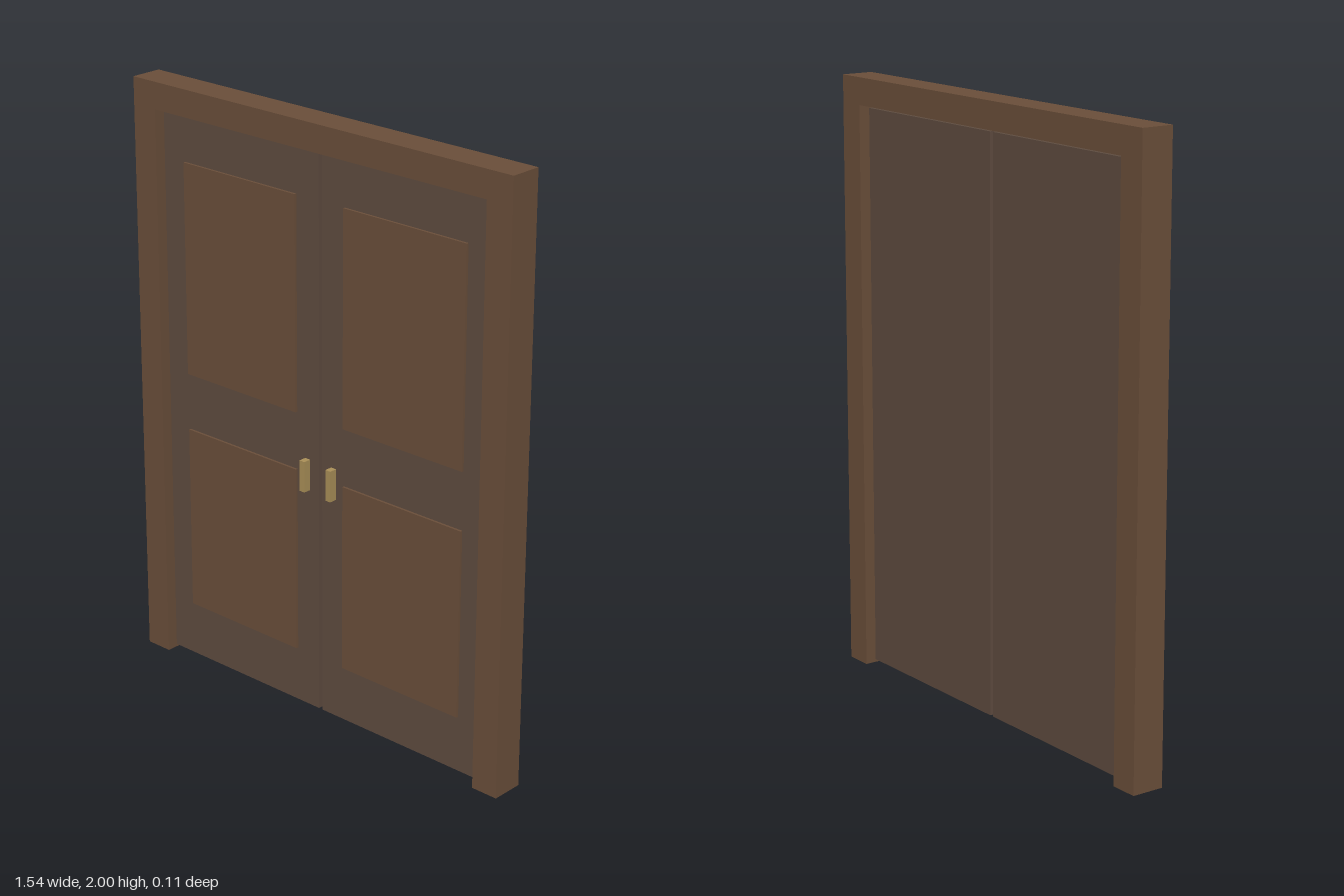
import * as THREE from 'three';

const wood = new THREE.MeshStandardMaterial({ color: 0x6b4f3a });
const darkWood = new THREE.MeshStandardMaterial({ color: 0x5f4c40 });
const brass = new THREE.MeshStandardMaterial({ color: 0xab9058 });

// Box given by its minimum and maximum on each axis
function box(name, material, [x0, x1], [y0, y1], [z0, z1]) {
  const mesh = new THREE.Mesh(new THREE.BoxGeometry(x1 - x0, y1 - y0, z1 - z0), material);
  mesh.position.set((x0 + x1) / 2, (y0 + y1) / 2, (z0 + z1) / 2);
  mesh.name = name;
  return mesh;
}

// Two jambs and a lintel in one piece, open at the floor
function createFrame() {
  const outer = 0.77, inner = 0.675, lintel = 1.91, depth = 0.11;
  const shape = new THREE.Shape([
    [-outer, 0], [-inner, 0], [-inner, lintel], [inner, lintel],
    [inner, 0], [outer, 0], [outer, 2], [-outer, 2],
  ].map(([x, y]) => new THREE.Vector2(x, y)));
  const geometry = new THREE.ExtrudeGeometry(shape, { depth, bevelEnabled: false });
  geometry.translate(0, 0, -depth / 2);
  const frame = new THREE.Mesh(geometry, wood);
  frame.name = 'doorFrame';
  return frame;
}

// One door with raised panels and a pull handle on the front; side is +1 or -1
function createDoor(side) {
  const span = (a, b) => (side > 0 ? [a, b] : [-b, -a]);
  const front = 0.018;
  const door = new THREE.Group();
  door.name = side > 0 ? 'leftDoor' : 'rightDoor';
  door.add(
    box('leaf', darkWood, span(0.007, 0.674), [0.01, 1.898], [-front, front]),
    box('lowerPanel', wood, span(0.1, 0.582), [0.2, 0.837], [front - 0.005, front + 0.008]),
    box('upperPanel', wood, span(0.1, 0.582), [1.033, 1.75], [front - 0.005, front + 0.008]),
    box('handle', brass, span(0.045, 0.066), [0.78, 0.885], [front, 0.045]),
  );
  return door;
}

export function createModel() {
  const model = new THREE.Group();
  model.name = 'doubleDoor';
  model.add(createFrame(), createDoor(1), createDoor(-1));
  return model;
}
